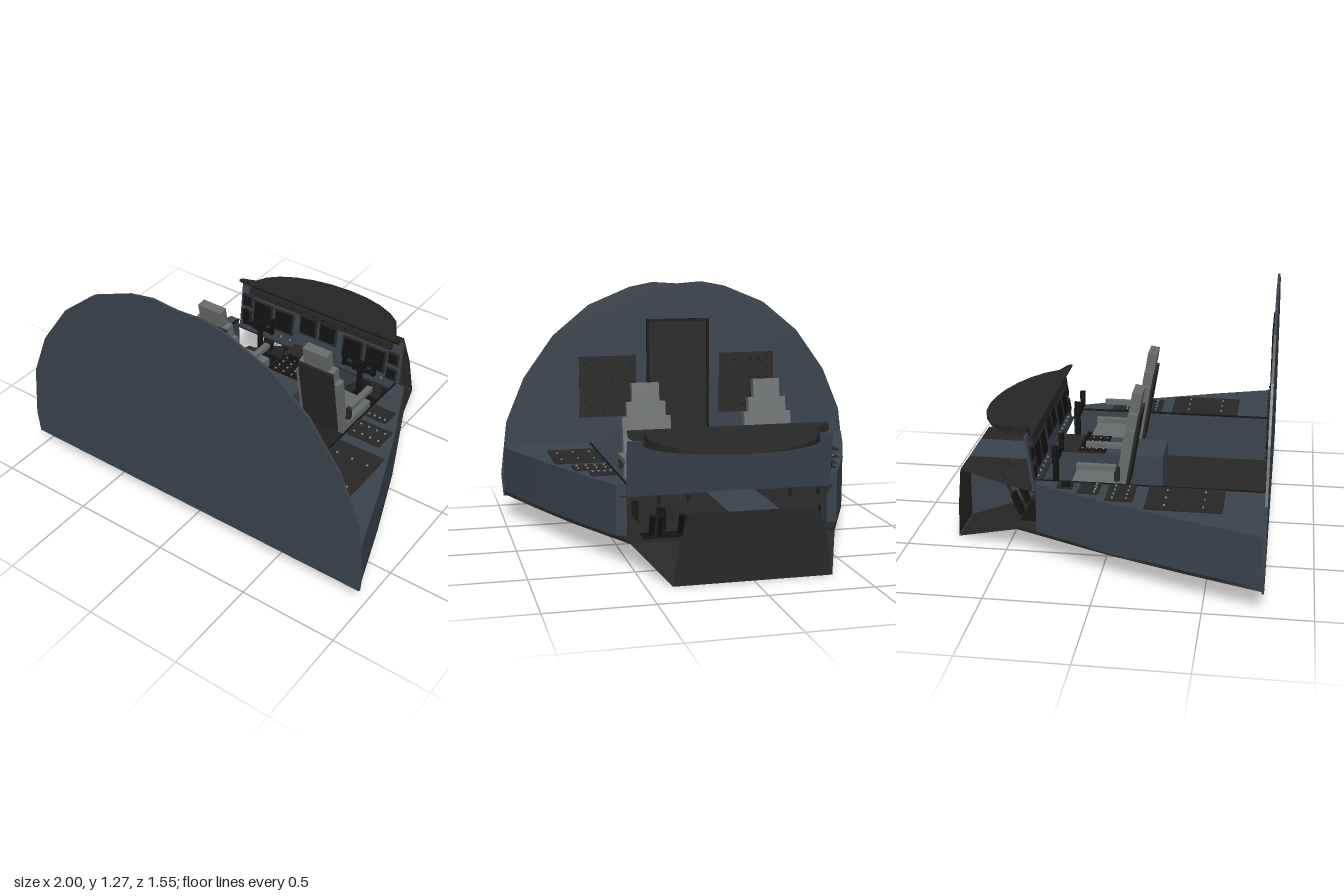
import * as THREE from 'three';

const mat = (name, color, extra = {}) => {
  const m = new THREE.MeshStandardMaterial({ color, ...extra });
  m.name = name;
  return m;
};

export function createModel() {
  const root = new THREE.Group();
  root.name = 'flightDeck';
  const hull = mat('slate hull', 0x3a424b);
  const dark = mat('charcoal', 0x262626, { side: THREE.DoubleSide });
  const black = mat('black', 0x121212);
  const grey = mat('seat grey', 0x686b6b);
  const pale = mat('knob grey', 0x8c8c8c);

  const add = (parent, name, geo, m, x = 0, y = 0, z = 0) => {
    const mesh = new THREE.Mesh(geo, m);
    mesh.name = name;
    mesh.position.set(x, y, z);
    parent.add(mesh);
    return mesh;
  };
  const box = (parent, name, m, w, h, d, x, y, z) =>
    add(parent, name, new THREE.BoxGeometry(w, h, d), m, x, y, z);
  const group = (name, x = 0, y = 0, z = 0, parent = root) => {
    const g = new THREE.Group();
    g.name = name;
    g.position.set(x, y, z);
    parent.add(g);
    return g;
  };
  // Prism from a plan outline of [x, z] pairs
  const prism = (name, m, pts, y0, y1) => {
    const s = new THREE.Shape(pts.map(([x, z]) => new THREE.Vector2(x, -z)));
    const geo = new THREE.ExtrudeGeometry(s, { depth: y1 - y0, bevelEnabled: false });
    geo.rotateX(-Math.PI / 2);
    return add(root, name, geo, m, 0, y0, 0);
  };
  const mirrored = (pts) => [...pts, ...pts.map(([x, v]) => [-x, v]).reverse()];

  // Rear bulkhead
  const arch = [[0.99, 0.11], [1, 0.23], [0.965, 0.52], [0.865, 0.76], [0.7, 0.99],
    [0.5, 1.155], [0.27, 1.25], [0.14, 1.275], [0, 1.265]];
  const wallShape = new THREE.Shape(mirrored(arch).map((p) => new THREE.Vector2(...p)));
  add(root, 'bulkhead', new THREE.ExtrudeGeometry(wallShape, { depth: 0.012, bevelEnabled: false }),
    hull, 0, 0, 0.762);

  // Door with frame and handle
  box(root, 'door', dark, 0.33, 0.92, 0.008, 0, 0.595, 0.757);
  for (const s of [-1, 1]) box(root, 'doorFrame', black, 0.015, 0.935, 0.012, s * 0.172, 0.602, 0.757);
  box(root, 'doorFrame', black, 0.36, 0.015, 0.012, 0, 1.062, 0.757);
  box(root, 'doorHandle', grey, 0.02, 0.07, 0.012, 0.135, 0.615, 0.749);

  // Breaker panels on the bulkhead
  const knob = new THREE.BoxGeometry(0.008, 0.008, 0.008);
  for (const s of [-1, 1]) {
    box(root, 'breakerPanel', dark, 0.32, 0.34, 0.008, s * 0.4, 0.7, 0.757);
    for (let i = 0; i < 6; i++)
      for (let j = 0; j < 6; j++)
        add(root, 'breaker', knob, black, s * 0.4 + (i - 2.5) * 0.05, 0.7 + (j - 2.5) * 0.052, 0.751);
  }

  // Floor slab
  const side = [[0.985, 0.762], [0.86, 0.4], [0.715, 0.02], [0.557, -0.335]];
  prism('floor', dark, mirrored([...side, [0.51, -0.44]]), 0.119, 0.135);

  // Side consoles with switch plates
  for (const s of [-1, 1]) {
    prism('sideConsole', hull, [[0.505, 0.762], ...side, [0.505, -0.335]].map(([x, z]) => [s * x, z]), 0.121, 0.384);
    box(root, 'consoleTrim', black, 0.008, 0.008, 1.095, s * 0.505, 0.384, 0.213);
    for (const [x0, x1, z0, z1, nx, nz] of [[0.515, 0.77, 0.21, 0.57, 3, 2],
      [0.515, 0.7, 0.02, 0.15, 4, 2], [0.515, 0.635, -0.12, -0.02, 4, 1]]) {
      const w = x1 - x0, d = z1 - z0;
      box(root, 'switchPlate', dark, w, 0.007, d, s * (x0 + x1) / 2, 0.3865, (z0 + z1) / 2);
      for (let i = 0; i < nx; i++)
        for (let j = 0; j < nz; j++)
          add(root, 'switch', knob, pale, s * (x0 + w * (i + 0.5) / nx), 0.392,
            z0 + d * (nz === 1 ? 0.8 : 0.25 + j * 0.5));
    }
  }
  box(root, 'tillerPlate', dark, 0.065, 0.007, 0.075, -0.56, 0.3865, -0.19);
  add(root, 'tillerKnob', new THREE.CylinderGeometry(0.024, 0.024, 0.014, 16), black, -0.56, 0.393, -0.185);

  // Nose: front plate, top sheet and sloping belly
  const sheet = (name, pts) => {
    const g = new THREE.BufferGeometry();
    g.setAttribute('position', new THREE.Float32BufferAttribute(pts.flat(), 3));
    g.setIndex([0, 1, 2, 0, 2, 3]);
    g.computeVertexNormals();
    return add(root, name, g, dark);
  };
  const plate = new THREE.Shape(mirrored([[0.38, 0], [0.35, 0.19], [0.305, 0.33]])
    .map((p) => new THREE.Vector2(...p)));
  add(root, 'nosePlate', new THREE.ShapeGeometry(plate), dark, 0, 0, -0.771);
  sheet('noseTop', [[-0.54, 0.328, -0.335], [0.54, 0.328, -0.335], [0.305, 0.328, -0.77], [-0.305, 0.328, -0.77]]);
  sheet('noseBelly', [[0.51, 0.12, -0.44], [-0.51, 0.12, -0.44], [-0.38, 0, -0.77], [0.38, 0, -0.77]]);
  box(root, 'noseKeel', hull, 0.24, 0.331, 0.434, 0, 0.1655, -0.552);

  // Centre pedestal with radio panels and levers
  box(root, 'pedestal', hull, 0.24, 0.25, 0.565, 0, 0.253, -0.052);
  box(root, 'pedestalPanel', dark, 0.235, 0.007, 0.26, 0, 0.381, -0.195);
  for (let j = 0; j < 4; j++) {
    box(root, 'radioStrip', black, 0.22, 0.005, 0.028, 0, 0.385, -0.08 - j * 0.036);
    for (let i = 0; i < 4; i++)
      add(root, 'radioKnob', knob, pale, (i - 1.5) * 0.05, 0.388, -0.08 - j * 0.036);
  }
  for (const x of [-0.045, -0.015, 0.015, 0.045]) {
    const lever = box(root, 'throttleLever', black, 0.012, 0.06, 0.01, x, 0.4, -0.185);
    lever.rotation.x = 0.5;
    box(root, 'throttleGrip', black, 0.02, 0.012, 0.02, x, 0.424, -0.17);
  }

  // Instrument panel, leaning forward
  const panel = group('instrumentPanel', 0, 0.325, -0.347);
  panel.rotation.x = -0.14;
  box(panel, 'panelBoard', hull, 1.02, 0.28, 0.012, 0, 0.14, -0.006);
  const screen = (x, y, w, h) => {
    box(panel, 'screenBezel', dark, w, h, 0.008, x, y, 0.004);
    box(panel, 'screenGlass', black, w - 0.02, h - 0.02, 0.004, x, y, 0.009);
  };
  for (const s of [-1, 1]) {
    for (const x of [0.22, 0.36]) screen(s * x, 0.14, 0.125, 0.13);
    for (const y of [0.09, 0.18]) screen(s * 0.465, y, 0.065, 0.07);
    screen(s * 0.062, 0.17, 0.11, 0.11);
    for (let i = 0; i < 5; i++) add(panel, 'panelKnob', knob, pale, s * (0.17 + i * 0.06), 0.045, 0.004);
  }
  box(panel, 'modePanel', dark, 0.9, 0.04, 0.02, 0, 0.25, 0.01);
  for (let i = 0; i < 12; i++) add(panel, 'modeKnob', knob, black, (i - 5.5) * 0.07, 0.25, 0.022);

  // Glareshield: half-ellipse wedge, flat below and sloping above
  const rim = [[0.5, -0.34], [0.5, -0.365], [0.43, -0.4]];
  for (let i = 1; i <= 6; i++) {
    const a = (i / 6) * Math.PI / 2;
    rim.push([0.43 * Math.cos(a), -0.4 - 0.285 * Math.sin(a)]);
  }
  const shield = prism('glareshield', dark, mirrored(rim), 0, 1);
  const sp = shield.geometry.attributes.position;
  shield.position.y = 0;
  for (let i = 0; i < sp.count; i++) {
    const z = sp.getZ(i), top = 0.645 + (z + 0.34) * 0.2;
    const low = Math.min(top - 0.002, z > -0.4 ? 0.577 + (z + 0.4) * 0.95 : 0.574);
    sp.setY(i, sp.getY(i) > 0.5 ? top : low);
  }
  shield.geometry.computeVertexNormals();

  for (const s of [-1, 1]) {
    // Seat
    const seat = group('seat', s * 0.32, 0, 0);
    box(seat, 'seatBase', dark, 0.18, 0.14, 0.18, 0, 0.205, -0.05);
    box(seat, 'seatCushion', grey, 0.25, 0.06, 0.24, 0, 0.305, -0.07);
    const back = group('seatBack', 0, 0.3, 0.05, seat);
    back.rotation.x = 0.16;
    box(back, 'backrest', grey, 0.25, 0.34, 0.048, 0, 0.17, 0);
    box(back, 'shoulderRest', grey, 0.2, 0.08, 0.048, 0, 0.375, 0);
    box(back, 'headrest', grey, 0.14, 0.095, 0.048, 0, 0.462, 0);
    box(back, 'backShell', dark, 0.2, 0.4, 0.012, 0, 0.21, 0.03);
    for (const t of [-1, 1]) {
      box(seat, 'armrest', grey, 0.03, 0.025, 0.19, t * 0.142, 0.452, -0.055);
      box(seat, 'armrestPivot', dark, 0.02, 0.07, 0.025, t * 0.14, 0.42, 0.045);
    }

    // Control yoke
    const yoke = group('yoke', s * 0.32, 0, -0.28);
    add(yoke, 'yokeColumn', new THREE.CylinderGeometry(0.014, 0.018, 0.33, 10), black, 0, 0.3, 0);
    box(yoke, 'yokeHub', black, 0.07, 0.05, 0.035, 0, 0.455, 0.005);
    box(yoke, 'yokeBar', black, 0.18, 0.018, 0.018, 0, 0.445, 0.01);
    for (const t of [-1, 1]) box(yoke, 'yokeGrip', black, 0.018, 0.09, 0.025, t * 0.088, 0.48, 0.012);

    // Rudder pedals
    for (const t of [-1, 1]) {
      const pedal = group('rudderPedal', s * 0.32 + t * 0.07, 0.14, -0.44);
      pedal.rotation.x = -0.41;
      box(pedal, 'pedalArm', dark, 0.014, 0.25, 0.01, 0, 0.125, 0);
      box(pedal, 'pedalPad', black, 0.06, 0.11, 0.018, 0, 0.07, 0.008);
    }
    box(root, 'pedalFloorPlate', black, 0.24, 0.008, 0.1, s * 0.32, 0.137, -0.385);
  }
  return root;
}
